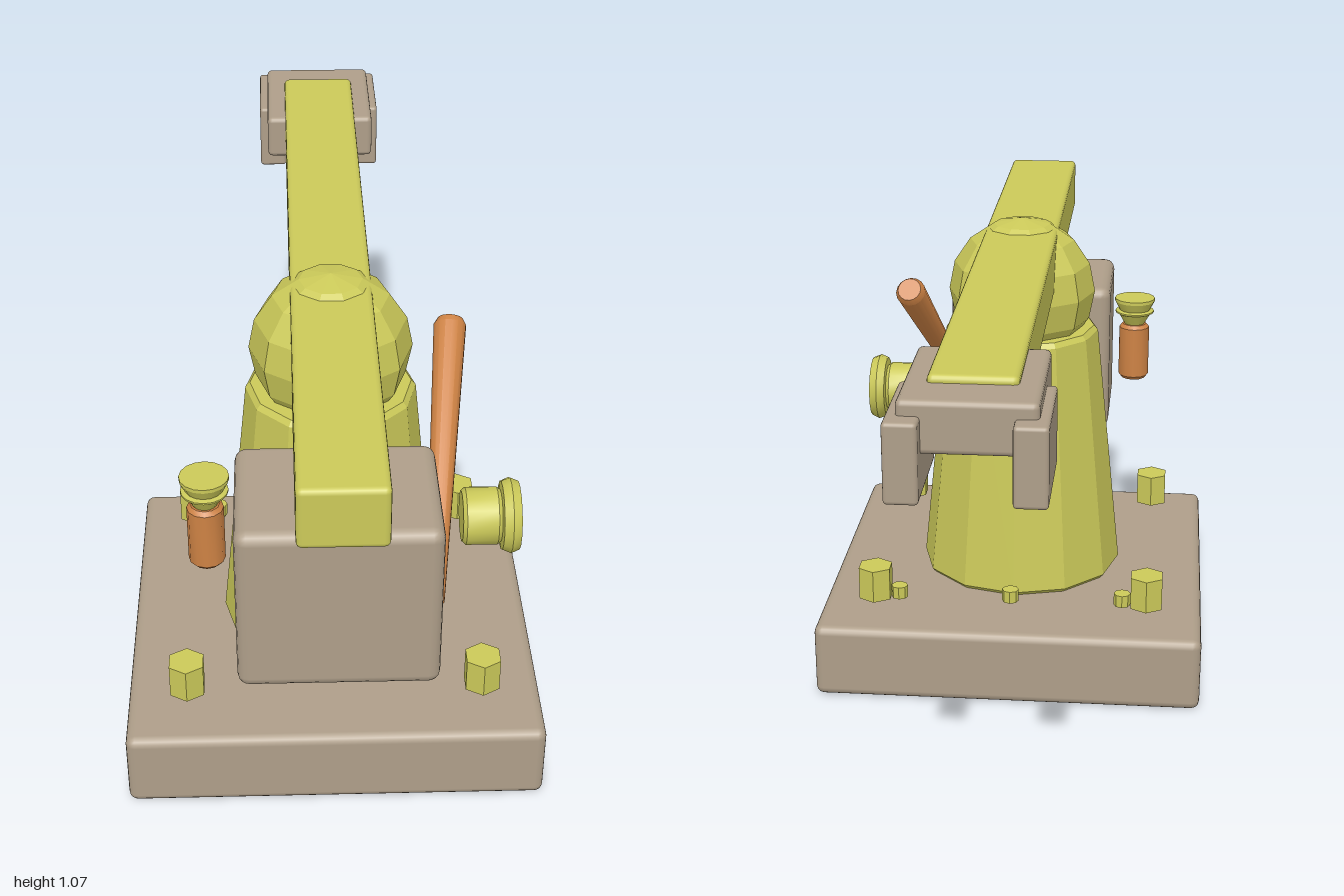
import * as THREE from 'three';
import { toCreasedNormals } from 'three/addons/utils/BufferGeometryUtils.js';
import { RoundedBoxGeometry } from 'three/addons/geometries/RoundedBoxGeometry.js';

const mat = (name, color) => {
  const m = new THREE.MeshStandardMaterial({ color });
  m.name = name;
  return m;
};

export function createModel() {
  const olive = mat('olive yellow', 0xcbc959);
  const taupe = mat('taupe', 0xae9e89);
  const orange = mat('copper orange', 0xcd8244);
  const green = mat('green', 0x48b878);

  const model = new THREE.Group();
  model.name = 'craneArmMachine';

  const add = (name, geometry, material, x = 0, y = 0, z = 0) => {
    const mesh = new THREE.Mesh(geometry, material);
    mesh.name = name;
    mesh.position.set(x, y, z);
    model.add(mesh);
    return mesh;
  };
  // Box given by its lower and upper limits on each axis
  const box = (name, material, [x0, x1], [y0, y1], [z0, z1], r) =>
    add(name, new RoundedBoxGeometry(x1 - x0, y1 - y0, z1 - z0, 2, r), material,
      (x0 + x1) / 2, (y0 + y1) / 2, (z0 + z1) / 2);
  // Turned part from [radius, height] pairs, bottom to top
  const turned = (profile, sides, crease = 0.1) =>
    toCreasedNormals(new THREE.LatheGeometry(profile.map(p => new THREE.Vector2(...p)), sides), crease);

  // Base slab and faceted tower
  box('base', taupe, [-0.46, 0.46], [0, 0.18], [-0.21, 0.71], 0.02);
  add('tower', turned([[0, 0.18], [0.24, 0.18], [0.249, 0.19], [0.187, 0.795], [0.177, 0.807], [0, 0.807]], 12),
    olive, 0, 0, 0.25);
  add('dome', toCreasedNormals(new THREE.SphereGeometry(0.178, 10, 8), 0.1), olive, 0, 0.895, 0.245);

  // Long arm with counterweight
  box('arm', olive, [-0.087, 0.087], [0.918, 1.05], [-0.86, 1], 0.012);
  box('counterweight', taupe, [-0.207, 0.207], [0.435, 0.82], [0.51, 0.83], 0.025);

  // Bracket between tower and counterweight, side outline in (z, y)
  const outline = [[0.64, 0.87], [0.6, 0.905], [0.43, 0.92], [0.38, 0.6], [0.49, 0.62], [0.625, 0.83]]
    .map(([z, y]) => new THREE.Vector2(-z, y));
  const bracketShape = new THREE.ExtrudeGeometry(new THREE.Shape(outline), { depth: 0.11, bevelEnabled: false });
  bracketShape.translate(0, 0, -0.055).rotateY(Math.PI / 2);
  add('bracket', bracketShape, olive);
  add('signalBall', toCreasedNormals(new THREE.SphereGeometry(0.056, 10, 8), 0.1), green, 0, 0.893, 0.7);

  // Gripping head on the rear end of the arm
  box('headPlate', taupe, [-0.132, 0.132], [0.93, 1.035], [-0.96, -0.635], 0.012);
  for (const s of [-1, 1]) {
    box('headProng', taupe, [s * 0.119 - 0.033, s * 0.119 + 0.033], [0.845, 1.005], [-1, -0.765], 0.008);
  }

  // Slanted lever on the left side
  const low = new THREE.Vector3(0.205, 0.515, 0.67);
  const high = new THREE.Vector3(0.266, 0.91, 0.165);
  const axis = high.clone().sub(low);
  const len = axis.length();
  const lever = add('lever', turned([[0, 0], [0.014, 0], [0.02, 0.008], [0.036, len - 0.015],
    [0.028, len], [0, len]], 16, 0.6), orange);
  lever.position.copy(low);
  lever.quaternion.setFromUnitVectors(new THREE.Vector3(0, 1, 0), axis.normalize());

  // Round knob facing left, with a recessed face and a slot plate
  const knob = add('knob', turned([[0, 0], [0.056, 0], [0.064, 0.008], [0.064, 0.077], [0.058, 0.085],
    [0.076, 0.087], [0.084, 0.106], [0.076, 0.125], [0.054, 0.125], [0.045, 0.105], [0, 0.105]], 16, 0.45),
  olive, 0.28, 0.567, 0.43);
  knob.rotation.z = -Math.PI / 2;
  add('knobSlot', new THREE.BoxGeometry(0.008, 0.05, 0.02), taupe, 0.388, 0.567, 0.43);

  // Handle with a flared cap on the right side
  add('handle', turned([[0, 0.567], [0.031, 0.567], [0.039, 0.576], [0.039, 0.706], [0.031, 0.715], [0, 0.715]], 12, 0.6),
    orange, -0.27, 0, 0.57);
  add('handleCap', turned([[0, 0.712], [0.026, 0.715], [0.042, 0.742], [0.05, 0.746], [0.05, 0.75],
    [0.04, 0.753], [0.052, 0.776], [0.052, 0.784], [0, 0.784]], 16, 0.45), olive, -0.27, 0, 0.57);

  // Hexagonal bolts at the corners and small studs along the rear
  const bolt = turned([[0, 0.21], [0.043, 0.21], [0.043, 0.29], [0, 0.29]], 6);
  for (const x of [-0.327, 0.327]) {
    for (const z of [-0.08, 0.573]) add('cornerBolt', bolt, olive, x, 0, z);
  }
  const stud = turned([[0, 0.21], [0.02, 0.21], [0.02, 0.24], [0, 0.24]], 8);
  for (const x of [-0.269, 0, 0.269]) add('rearStud', stud, olive, x, 0, -0.08);

  return model;
}
